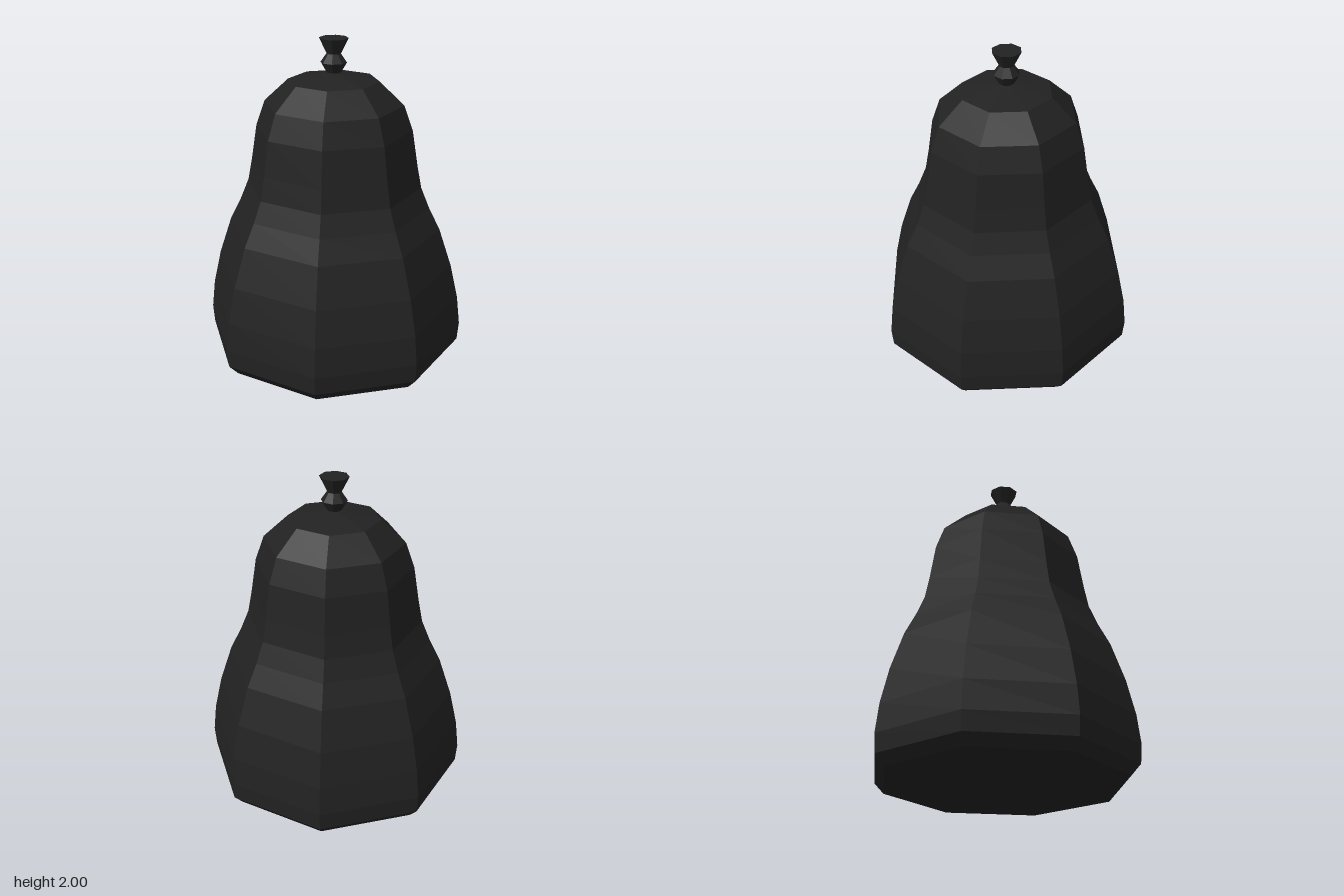
import * as THREE from 'three';

const SIDES = 8;

// Faceted octagonal solid turned from [radius, height] pairs, bottom to top
function turned(name, profile, material) {
  const points = profile.map(([r, y]) => new THREE.Vector2(r, y));
  const mesh = new THREE.Mesh(new THREE.LatheGeometry(points, SIDES), material);
  mesh.name = name;
  mesh.scale.z = 0.985; // slightly shallower than wide
  return mesh;
}

export function createModel() {
  const group = new THREE.Group();
  group.name = 'tiedSack';
  const material = new THREE.MeshStandardMaterial({ color: 0x222222, flatShading: true });

  // Sagging sack with a flat base, chamfered foot and low pointed top
  group.add(turned('sackBody', [
    [0, 0], [0.75, 0], [0.81, 0.065], [0.82, 0.18], [0.8, 0.36], [0.75, 0.58],
    [0.67, 0.82], [0.6, 0.96], [0.547, 1.09], [0.52, 1.23], [0.485, 1.45],
    [0.43, 1.605], [0.28, 1.745], [0, 1.795],
  ], material));

  // Tied knot above the body
  group.add(turned('knot', [
    [0, 1.785], [0.045, 1.795], [0.08, 1.855], [0.042, 1.91], [0, 1.91],
  ], material));

  // Gathered end flaring out of the knot
  group.add(turned('gatheredEnd', [
    [0, 1.9], [0.04, 1.9], [0.09, 2], [0, 2],
  ], material));

  return group;
}
